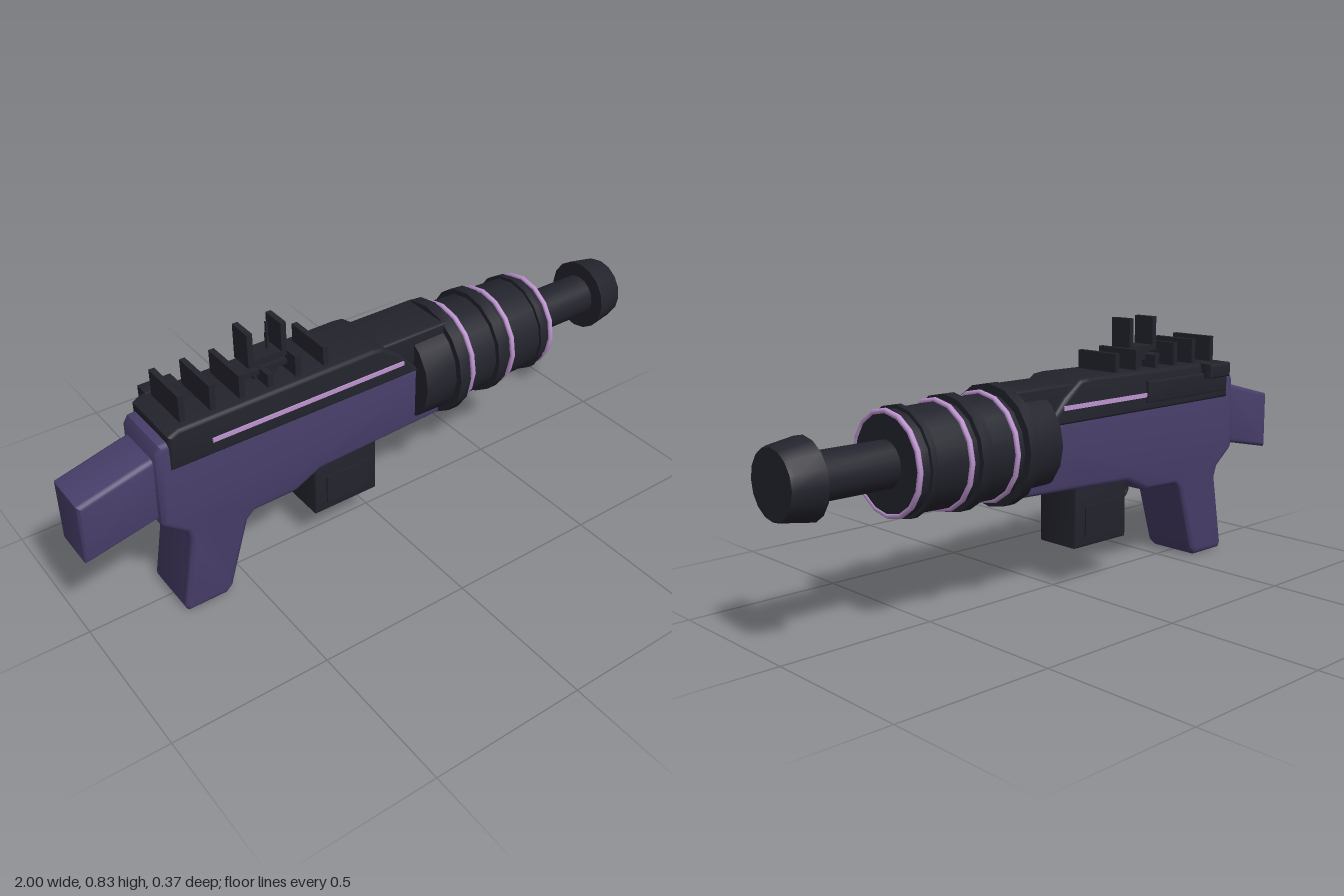
import * as THREE from 'three';
import { toCreasedNormals } from 'three/addons/utils/BufferGeometryUtils.js';

const AXIS_Y = 0.5; // height of the barrel axis

export function createModel() {
  const model = new THREE.Group();
  const mat = (name, color) => {
    const m = new THREE.MeshStandardMaterial({ color });
    m.name = name;
    return m;
  };
  const purple = mat('purple shell', 0x483e6a);
  const dark = mat('dark metal', 0x23232d);
  const pink = mat('pink trim', 0xbd94cf);

  const add = (name, geometry, material) => {
    const mesh = new THREE.Mesh(geometry, material);
    mesh.name = name;
    model.add(mesh);
    return mesh;
  };

  // Side profile in x/y, extruded along z with rounded edges
  const slab = (name, points, z0, z1, bevel, material) => {
    const shape = new THREE.Shape(points.map(([x, y]) => new THREE.Vector2(x, y)));
    const g = new THREE.ExtrudeGeometry(shape, {
      depth: z1 - z0 - 2 * bevel, bevelEnabled: bevel > 0,
      bevelThickness: bevel, bevelSize: bevel, bevelOffset: -bevel, bevelSegments: 3,
    });
    g.translate(0, 0, z0 + bevel);
    return add(name, toCreasedNormals(g, 0.6), material);
  };
  const box = (name, x0, x1, y0, y1, z0, z1, material = dark) => {
    const g = new THREE.BoxGeometry(x1 - x0, y1 - y0, z1 - z0);
    g.translate((x0 + x1) / 2, (y0 + y1) / 2, (z0 + z1) / 2);
    return add(name, g, material);
  };
  const softBox = (name, x0, x1, y0, y1, z0, z1, bevel) =>
    slab(name, [[x0, y0], [x1, y0], [x1, y1], [x0, y1]], z0, z1, bevel, dark);

  // Turned part along the barrel axis; points are [x, radius]
  const turned = (name, points, material = dark) => {
    const profile = points.map(([x, r]) => new THREE.Vector2(r, x));
    const g = new THREE.LatheGeometry(profile, 16);
    g.rotateZ(-Math.PI / 2);
    g.translate(0, AXIS_Y, 0);
    return add(name, toCreasedNormals(g, 0.5), material);
  };

  // Purple body with grip in one profile
  slab('bodyAndGrip', [
    [-0.775, 0.37], [-0.765, 0.355], [-0.70, 0.305], [-0.688, 0.27], [-0.73, 0.03], [-0.722, 0.008],
    [-0.59, 0.008], [-0.567, 0.03], [-0.50, 0.255], [-0.475, 0.277], [-0.33, 0.28], [-0.24, 0.325],
    [0.22, 0.345], [0.22, 0.54], [0.10, 0.56], [-0.70, 0.64], [-0.755, 0.635], [-0.77, 0.61],
  ], -0.102, 0.102, 0.018, purple);
  slab('stock', [[-1, 0.33], [-0.74, 0.385], [-0.74, 0.592], [-0.80, 0.58], [-1, 0.527]],
    -0.08, 0.08, 0.015, purple);

  // Dark upper cover and the rail block leading to the collar
  slab('topCover', [
    [-0.73, 0.548], [0.12, 0.548], [0.115, 0.56], [0.05, 0.63], [-0.015, 0.678],
    [-0.05, 0.682], [-0.70, 0.675], [-0.73, 0.66],
  ], -0.11, 0.11, 0.012, dark);
  softBox('topRail', -0.02, 0.24, 0.56, 0.668, -0.09, 0.09, 0.008);

  // Pink side stripes
  box('stripeLeft', -0.60, 0.06, 0.593, 0.607, 0.108, 0.114, pink);
  box('stripeRight', -0.31, 0.06, 0.593, 0.607, -0.114, -0.108, pink);

  // Far-side panel and latch
  softBox('sidePanel', -0.71, -0.31, 0.575, 0.645, -0.122, -0.10, 0.005);
  softBox('latch', -0.69, -0.585, 0.628, 0.676, -0.153, -0.09, 0.009);

  // Cooling fins along the top
  [[-0.67, 0.76], [-0.575, 0.757], [-0.482, 0.753], [-0.39, 0.72], [-0.297, 0.745], [-0.202, 0.74]]
    .forEach(([x, top]) => box('coolingFin', x - 0.009, x + 0.009, 0.66, top, -0.082, 0.082));

  // Sight: foot, bridge, two uprights and a fine pin
  box('sightFoot', -0.45, -0.285, 0.702, 0.718, -0.04, 0.04);
  box('sightStem', -0.41, -0.33, 0.67, 0.74, -0.025, 0.025);
  box('sightBridge', -0.43, -0.305, 0.73, 0.748, -0.038, 0.038);
  for (const x of [-0.424, -0.314]) box('sightUpright', x - 0.009, x + 0.009, 0.73, 0.84, -0.039, 0.039);
  box('sightPin', -0.349, -0.343, 0.745, 0.835, -0.004, 0.004);

  // Magazine with a raised panel on each side
  softBox('magazine', -0.25, -0.02, 0.138, 0.36, -0.082, 0.082, 0.009);
  for (const s of [-1, 1]) {
    const z = s * 0.083;
    box('magazinePanel', -0.21, -0.06, 0.17, 0.27, z - 0.004, z + 0.004);
  }

  // Trigger guard
  const guard = new THREE.CatmullRomCurve3([
    [-0.335, 0.295], [-0.338, 0.265], [-0.325, 0.25], [-0.29, 0.248], [-0.24, 0.248],
  ].map(([x, y]) => new THREE.Vector3(x, y, 0)));
  add('triggerGuard', new THREE.TubeGeometry(guard, 14, 0.009, 6), dark);

  // Front housing: collar, flanges and tapering sleeve
  turned('collar', [[0.115, 0], [0.115, 0.163], [0.235, 0.165], [0.235, 0]]);
  turned('sleeve', [[0.23, 0], [0.23, 0.162], [0.60, 0.152], [0.64, 0.147], [0.64, 0]]);
  [[0.228, 0.266, 0.187], [0.395, 0.433, 0.174], [0.583, 0.602, 0.163]].forEach(([a, b, r]) =>
    turned('flange', [[a, 0], [a, r], [b, r], [b, 0]]));

  // Pink rings around the sleeve
  [[0.295, 0.163], [0.462, 0.159], [0.635, 0.149]].forEach(([x, r]) => {
    const g = new THREE.TorusGeometry(r, 0.0085, 8, 16);
    g.rotateY(Math.PI / 2);
    g.rotateX(Math.PI / 2);
    g.translate(x, AXIS_Y, 0);
    add('glowRing', g, pink);
  });

  // Barrel and muzzle
  turned('barrel', [[0.62, 0], [0.62, 0.07], [0.92, 0.07], [0.92, 0]]);
  turned('muzzle', [[0.90, 0], [0.90, 0.118], [0.985, 0.104], [1, 0.099], [1, 0]]);

  return model;
}
